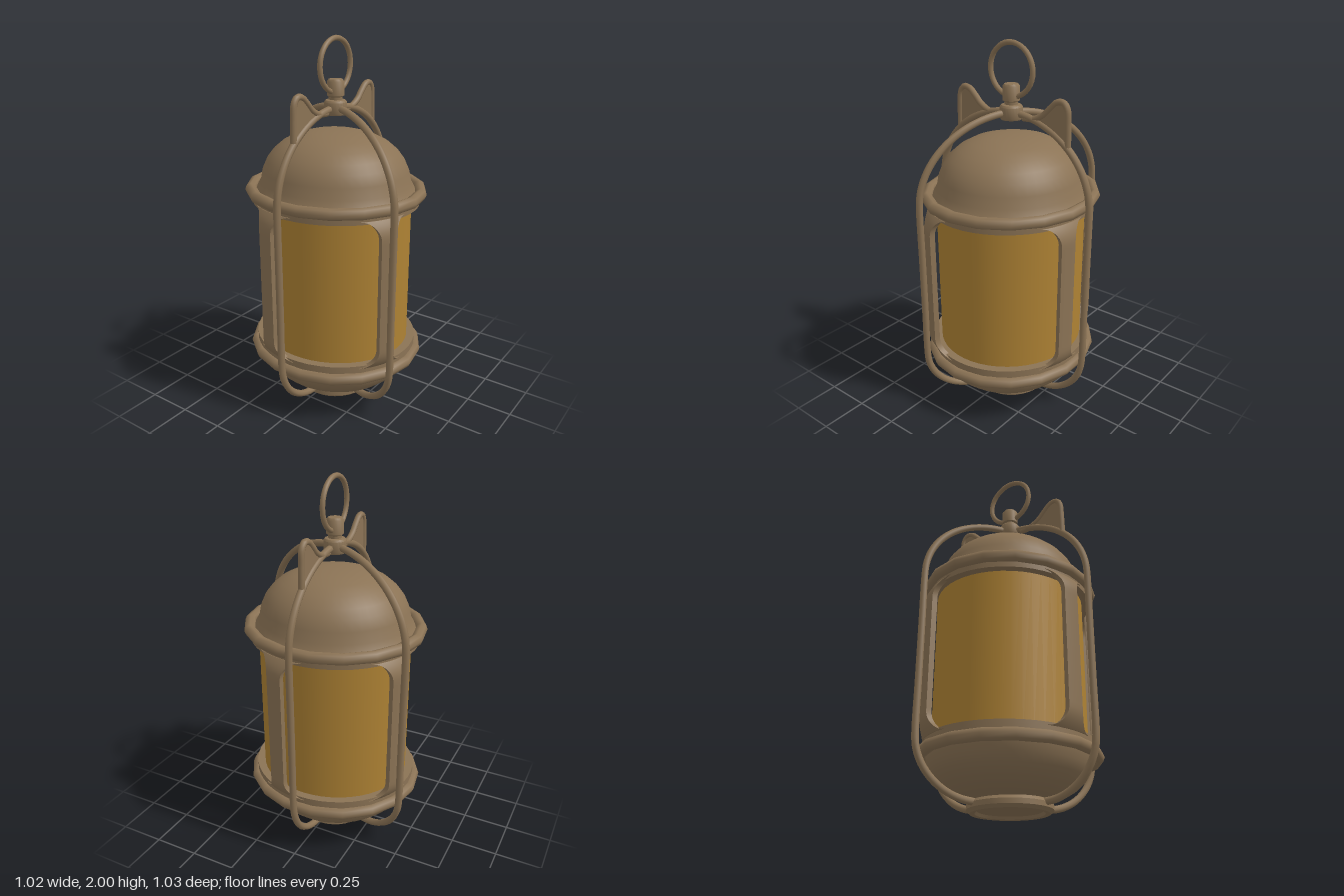
import * as THREE from 'three';
import { toCreasedNormals } from 'three/addons/utils/BufferGeometryUtils.js';

const bronze = new THREE.MeshStandardMaterial({ color: 0x8b7355 });
bronze.name = 'bronze';
const amber = new THREE.MeshStandardMaterial({ color: 0xae8234 });
amber.name = 'amberGlass';

const BODY_DEPTH = 0.94; // the body is slightly oval

function add(parent, name, geometry, material = bronze) {
  const mesh = new THREE.Mesh(geometry, material);
  mesh.name = name;
  parent.add(mesh);
  return mesh;
}

// Profile [radius, y], listed bottom to top along the outside
function lathe(points, segments = 48) {
  const g = new THREE.LatheGeometry(points.map(([r, y]) => new THREE.Vector2(r, y)), segments);
  return toCreasedNormals(g, 0.7);
}

// Window post: a bent box that flares at both ends into rounded window corners
function postGeometry(angle) {
  const g = new THREE.BoxGeometry(1, 1, 1, 8, 36, 1);
  const p = g.attributes.position;
  const half = 0.41, corner = 0.1;
  for (let i = 0; i < p.count; i++) {
    const y = half * Math.sin(p.getY(i) * Math.PI);
    const t = THREE.MathUtils.clamp(1 - (half - Math.abs(y)) / corner, 0, 1);
    const width = 0.045 + corner * (1 - Math.sqrt(1 - t * t));
    const r = 0.49 - 0.04 * t * t + p.getZ(i) * 0.03;
    const a = angle - p.getX(i) * 2 * width / 0.49;
    p.setXYZ(i, r * Math.cos(a), 0.745 + y, r * Math.sin(a));
  }
  g.computeVertexNormals();
  return g;
}

// Half of a cage hoop in the xy plane, from the foot up to the collar
function cageBar(reach) {
  const pts = [new THREE.Vector3(0.16, 0.045, 0)];
  for (let i = 0; i <= 8; i++) {
    const a = (i / 8) * Math.PI / 2;
    pts.push(new THREE.Vector3(0.2 + (reach - 0.2) * Math.sin(a), 0.33 - 0.285 * Math.cos(a), 0));
  }
  for (const y of [0.6, 0.9]) pts.push(new THREE.Vector3(reach, y, 0));
  for (let i = 0; i <= 12; i++) {
    const a = (i / 12) * Math.PI / 2;
    pts.push(new THREE.Vector3(reach * Math.cos(a), 1.2 + 0.435 * Math.sin(a), 0));
  }
  return new THREE.TubeGeometry(new THREE.CatmullRomCurve3(pts), 90, 0.019, 8);
}

// Pointed ear standing on the hoop: tube rim and thin panel
function ear() {
  const group = new THREE.Group();
  const outline = [
    [0.355, 1.5], [0.352, 1.62], [0.345, 1.7], [0.322, 1.728],
    [0.285, 1.724], [0.245, 1.69], [0.205, 1.65], [0.15, 1.622], [0.08, 1.615],
  ].map(([x, y]) => new THREE.Vector3(x, y, 0));
  const curve = new THREE.CatmullRomCurve3(outline);
  add(group, 'earRim', new THREE.TubeGeometry(curve, 40, 0.017, 8));
  const edge = curve.getPoints(30).map((v) => new THREE.Vector2(v.x, v.y));
  for (const z of [0.2, 0.28]) {
    edge.push(new THREE.Vector2(z, 1.2 + 0.435 * Math.sqrt(1 - (z / 0.5) ** 2)));
  }
  const panel = new THREE.ExtrudeGeometry(new THREE.Shape(edge), { depth: 0.014, bevelEnabled: false });
  add(group, 'earPanel', panel.translate(0, 0, -0.007));
  return group;
}

export function createModel() {
  const model = new THREE.Group();
  model.name = 'lantern';

  const body = new THREE.Group();
  body.name = 'body';
  body.scale.z = BODY_DEPTH;
  model.add(body);

  // Domed lid and rounded bowl
  add(body, 'lid', lathe([
    [0.45, 1.18], [0.43, 1.22], [0.412, 1.25], [0.4, 1.31], [0.375, 1.365], [0.34, 1.41],
    [0.29, 1.452], [0.22, 1.487], [0.14, 1.508], [0.07, 1.515], [0, 1.517],
  ]));
  add(body, 'bowl', lathe([
    [0, 0.055], [0.2, 0.06], [0.28, 0.085], [0.35, 0.125], [0.4, 0.17],
    [0.43, 0.215], [0.44, 0.255], [0.45, 0.29],
  ]));

  // Faceted rims and the bands that close the window openings
  for (const [name, y] of [['upper', 1.2], ['lower', 0.28]]) {
    const rim = new THREE.TorusGeometry(0.468, 0.032, 8, 18).rotateX(Math.PI / 2);
    add(body, name + 'Rim', rim).position.y = y;
  }
  for (const [name, y0, y1] of [['upperBand', 1.14, 1.2], ['lowerBand', 0.28, 0.35]]) {
    add(body, name, lathe([[0.4, y0], [0.462, y0], [0.462, y1], [0.4, y1], [0.4, y0]]));
  }

  // Glass cylinder and four window posts
  const glass = new THREE.CylinderGeometry(0.418, 0.418, 0.92, 48, 1, true);
  add(body, 'glass', glass, amber).position.y = 0.74;
  for (const degrees of [24, 103.5, 204, 283.5]) {
    add(body, 'windowPost', postGeometry(THREE.MathUtils.degToRad(degrees)));
  }

  // Foot with a shallow recess below
  add(model, 'foot', lathe([
    [0, 0.02], [0.165, 0.02], [0.175, 0.006], [0.2, 0.004], [0.218, 0.02],
    [0.218, 0.045], [0.2, 0.065], [0, 0.07],
  ], 32));

  // Two crossing hoops; the front-to-back one carries the ears
  const diagonal = -Math.atan2(0.21, 0.5);
  for (const [turn, reach] of [[Math.PI / 2, 0.495], [diagonal, 0.53]]) {
    for (const flip of [0, Math.PI]) {
      add(model, 'cageBar', cageBar(reach)).rotation.y = turn + flip;
    }
  }
  for (const turn of [-Math.PI / 2, Math.PI / 2]) {
    const e = ear();
    e.name = 'ear';
    e.rotation.y = turn;
    model.add(e);
  }

  // Collar, cap and carrying ring
  add(model, 'collar', lathe([
    [0, 1.6], [0.055, 1.6], [0.06, 1.61], [0.06, 1.665], [0.052, 1.675], [0.036, 1.678],
    [0.036, 1.692], [0.045, 1.698], [0.045, 1.77], [0.036, 1.782], [0, 1.784],
  ], 24));
  const ring = new THREE.TorusGeometry(0.135, 0.014, 8, 40).rotateY(Math.PI / 2);
  add(model, 'carryingRing', ring).position.y = 1.851;

  return model;
}
